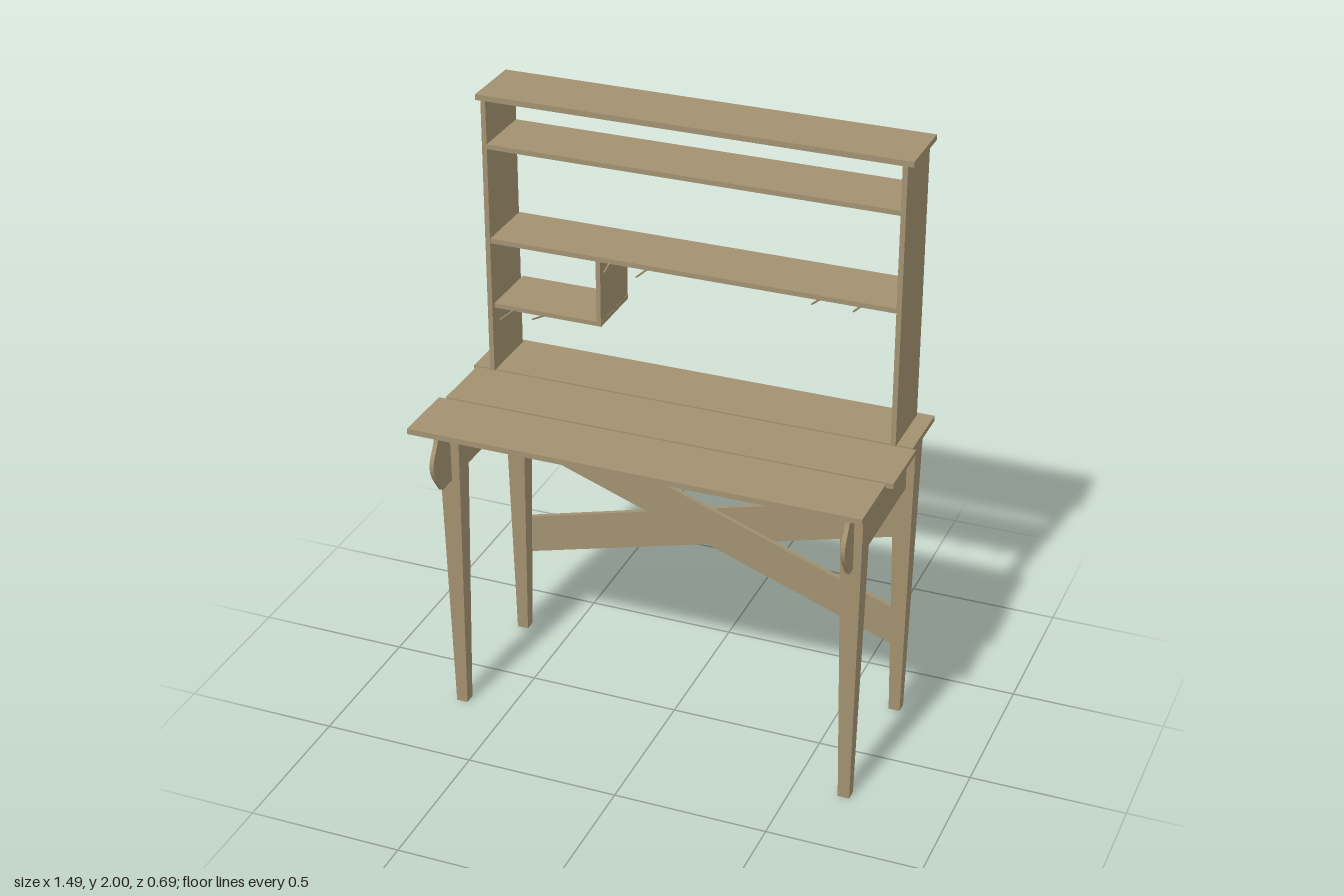
import * as THREE from 'three';

export function createModel() {
  const group = new THREE.Group();
  const wood = new THREE.MeshStandardMaterial({ color: 0xa29170 });
  wood.name = 'tan wood';

  const add = (name, geometry) => {
    const mesh = new THREE.Mesh(geometry, wood);
    mesh.name = name;
    group.add(mesh);
    return mesh;
  };
  // Board given by its extents along each axis
  const board = (name, [x0, x1], [y0, y1], [z0, z1]) => {
    const mesh = add(name, new THREE.BoxGeometry(x1 - x0, y1 - y0, z1 - z0));
    mesh.position.set((x0 + x1) / 2, (y0 + y1) / 2, (z0 + z1) / 2);
    return mesh;
  };

  // Table top: three slightly staggered planks
  board('frontPlank', [-0.745, 0.72], [1.048, 1.066], [0.118, 0.34]);
  board('middlePlank', [-0.725, 0.74], [1.048, 1.066], [-0.112, 0.11]);
  board('backPlank', [-0.737, 0.728], [1.048, 1.066], [-0.341, -0.12]);

  // Square tapered legs
  const legHeight = 1.048;
  const leg = (name, x, z) => {
    const g = new THREE.BoxGeometry(0.072, legHeight, 0.072);
    const p = g.attributes.position;
    for (let i = 0; i < p.count; i++) {
      if (p.getY(i) < 0) p.setXYZ(i, p.getX(i) * 0.52, p.getY(i), p.getZ(i) * 0.52);
    }
    g.computeVertexNormals();
    add(name, g).position.set(x, legHeight / 2, z);
  };
  leg('frontLeftLeg', 0.664, 0.227);
  leg('frontRightLeg', -0.664, 0.191);
  leg('backLeftLeg', 0.664, -0.286);
  leg('backRightLeg', -0.664, -0.286);

  // Side aprons with a curved front end, drawn in (z, y) and turned upright
  const profile = new THREE.Shape();
  profile.moveTo(-0.323, 0.842);
  profile.lineTo(0.29, 0.842);
  profile.bezierCurveTo(0.315, 0.88, 0.344, 0.91, 0.344, 0.945);
  profile.bezierCurveTo(0.344, 0.985, 0.305, 1.0, 0.303, 1.048);
  profile.lineTo(-0.323, 1.048);
  profile.closePath();
  for (const [side, x] of [['left', 0.658], ['right', -0.672]]) {
    const g = new THREE.ExtrudeGeometry(profile, { depth: 0.014, bevelEnabled: false, curveSegments: 8 });
    const apron = add(side + 'Apron', g);
    apron.rotation.y = -Math.PI / 2;
    apron.scale.x = 1;
    // shape x runs along +z, extrusion runs along -x
    apron.position.x = x + 0.014;
  }

  // Crossed braces at the back
  const brace = (name, x0, x1, yMid, slope, z, width) => {
    const length = (x1 - x0) * Math.hypot(1, slope);
    const mesh = add(name, new THREE.BoxGeometry(length, width, 0.016));
    const x = (x0 + x1) / 2;
    mesh.position.set(x, yMid + slope * x, z);
    mesh.rotation.z = Math.atan(slope);
  };
  brace('innerBrace', -0.665, 0.652, 0.522, -0.364, -0.316, 0.128);
  brace('outerBrace', -0.675, 0.665, 0.517, 0.268, -0.332, 0.13);

  // Hutch: sides, top and shelves
  const depth = [-0.325, -0.11];
  board('leftUpright', [0.66, 0.676], [1.066, 1.982], depth);
  board('rightUpright', [-0.676, -0.66], [1.066, 1.982], depth);
  board('hutchTop', [-0.693, 0.694], [1.982, 2], [-0.33, -0.11]);
  board('upperShelf', [-0.66, 0.66], [1.826, 1.842], depth);
  board('middleShelf', [-0.66, 0.66], [1.51, 1.526], [-0.328, -0.112]);
  board('lowShelf', [-0.66, -0.295], [1.282, 1.297], [-0.341, -0.125]);
  board('shelfDivider', [-0.311, -0.296], [1.297, 1.51], [-0.341, -0.125]);

  // Thin nails sticking out of the shelf fronts: start and tip
  const nails = [
    [[-0.255, 1.524, -0.125], [-0.256, 1.503, -0.063]],
    [[-0.13, 1.518, -0.11], [-0.14, 1.519, -0.04]],
    [[0.42, 1.51, -0.125], [0.42, 1.53, -0.04]],
    [[0.55, 1.512, -0.125], [0.55, 1.53, -0.04]],
    [[-0.587, 1.29, -0.125], [-0.601, 1.29, -0.04]],
    [[-0.488, 1.284, -0.13], [-0.497, 1.303, -0.056]],
  ];
  for (const [a, b] of nails) {
    const start = new THREE.Vector3(...a);
    const dir = new THREE.Vector3(...b).sub(start);
    const nail = add('nail', new THREE.CylinderGeometry(0.003, 0.003, dir.length(), 8));
    nail.position.copy(start).addScaledVector(dir, 0.5);
    nail.quaternion.setFromUnitVectors(new THREE.Vector3(0, 1, 0), dir.normalize());
  }

  return group;
}
